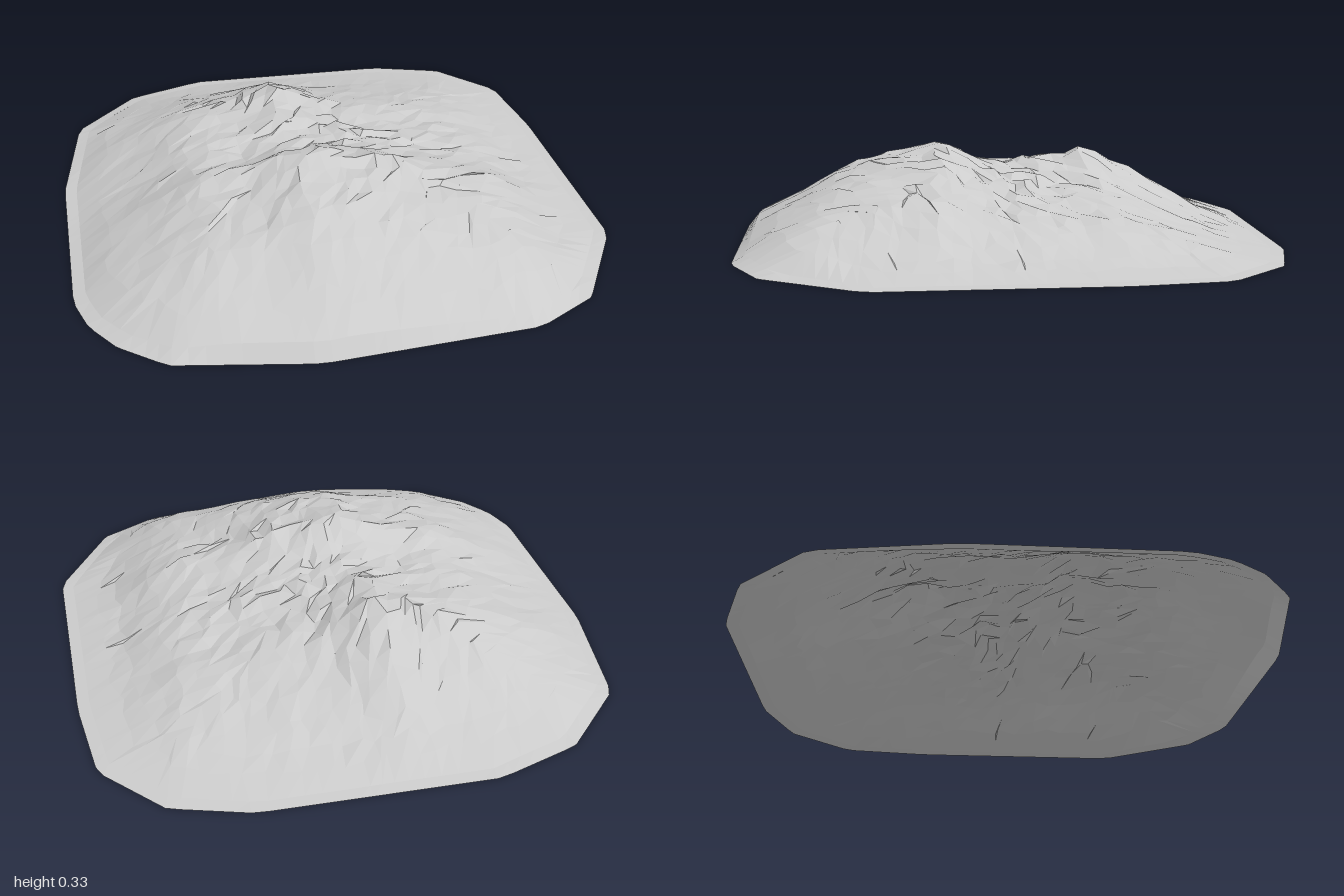
import * as THREE from 'three';

// Ground outline, seen from above as [x, z]
const outline = [
  [1, 0.48], [0.8, 0.83], [0.58, 0.95], [-0.18, 1], [-0.67, 0.92], [-0.83, 0.8], [-0.92, 0.68], [-0.97, 0.54],
  [-1, -0.18], [-0.94, -0.65], [-0.7, -0.9], [-0.4, -1], [0.43, -0.99], [0.71, -0.91], [0.92, -0.69], [0.97, -0.35],
];
// Skyline across the width [x, y] and along the depth [z, y]
const skylineX = [[-1, 0], [-0.95, 0.015], [-0.8, 0.09], [-0.6, 0.19], [-0.5, 0.235], [-0.3, 0.27], [-0.13, 0.335],
  [0, 0.325], [0.2, 0.28], [0.4, 0.215], [0.5, 0.2], [0.6, 0.165], [0.8, 0.04], [1, 0]];
const skylineZ = [[-1, 0], [-0.8, 0.06], [-0.6, 0.18], [-0.5, 0.235], [-0.34, 0.31], [-0.2, 0.28], [0, 0.25],
  [0.1, 0.275], [0.22, 0.335], [0.4, 0.3], [0.5, 0.28], [0.6, 0.25], [0.8, 0.135], [0.95, 0.06], [1, 0]];

const { clamp, smoothstep } = THREE.MathUtils;

function sample(points, t) {
  for (let i = 1; i < points.length; i++) {
    const [a, ya] = points[i - 1], [b, yb] = points[i];
    if (t <= b) return ya + (yb - ya) * Math.max(0, (t - a) / (b - a));
  }
  return 0;
}

// Distance from the centre to the outline in direction (dx, dz)
function reach(dx, dz) {
  for (let i = 0; i < outline.length; i++) {
    const [ax, az] = outline[i], [bx, bz] = outline[(i + 1) % outline.length];
    const ex = bx - ax, ez = bz - az;
    const d = dx * ez - dz * ex;
    const r = (ax * ez - az * ex) / d, s = (ax * dz - az * dx) / d;
    if (r > 0 && s >= -1e-6 && s <= 1 + 1e-6) return r;
  }
  return 1;
}

const bump = (x, z, cx, cz, w) => Math.exp(-((x - cx) ** 2 + (z - cz) ** 2) / (w * w));

// Two summits joined by a saddle; the front one runs on to the east, the back one drops off there
function height(x, z) {
  const spread = z > 0 ? 0.15 * clamp(x / 0.55, 0, 1) * (1 - z * z) : 0;
  const drop = 1 - 0.28 * smoothstep(x, -0.15, 0.1) * smoothstep(-z, 0, 0.3);
  return sample(skylineX, x) * sample(skylineZ, z * (1 - spread)) * drop / 0.335
    + 0.035 * bump(x, z, -0.5, 0, 0.22);
}

// The rim is a low wall in the middle of the front and runs out flat elsewhere
const rimFactor = (x, z) => 0.45 + 0.55 * smoothstep(z, 0.75, 0.92) * bump(x, 0, -0.2, 0, 0.5);

export function createModel() {
  const group = new THREE.Group();
  let seed = 7;
  const jitter = () => {
    seed = (seed * 16807) % 2147483647;
    return seed / 1073741823.5 - 1;
  };
  // Denser facets near the summits, with a narrow skirt at the rim
  const grade = t => Math.sign(t) * (Math.abs(t) > 0.93 && Math.abs(t) < 0.99 ? 0.955 : Math.abs(t) ** 1.15);

  const geometry = new THREE.PlaneGeometry(2, 2, 32, 32).rotateX(-Math.PI / 2);
  const p = geometry.attributes.position;
  for (let i = 0; i < p.count; i++) {
    const u = grade(p.getX(i)), v = grade(p.getZ(i));
    const ring = Math.max(Math.abs(u), Math.abs(v));
    const len = Math.hypot(u, v);
    let x = 0, z = 0, y = 0;
    if (len > 1e-6) {
      const r = ring * reach(u / len, v / len);
      x = u / len * r;
      z = v / len * r;
    }
    // Rough rock in the middle, smooth slopes outside
    if (ring < 0.94) {
      x += jitter() * 0.019;
      z += jitter() * 0.019;
      const rough = 0.015 * clamp(1.1 - ring * 1.15, 0.1, 1);
      y = Math.max(0.003, height(x, z) + jitter() * rough);
    } else if (ring < 0.999) {
      y = height(x, z) * rimFactor(x, z);
    }
    p.setXYZ(i, x, y, z);
  }
  geometry.computeVertexNormals();

  const hill = new THREE.Mesh(geometry, new THREE.MeshStandardMaterial({
    color: 0xcccccc, flatShading: true, side: THREE.DoubleSide,
  }));
  hill.name = 'rockyHill';
  group.add(hill);
  return group;
}
